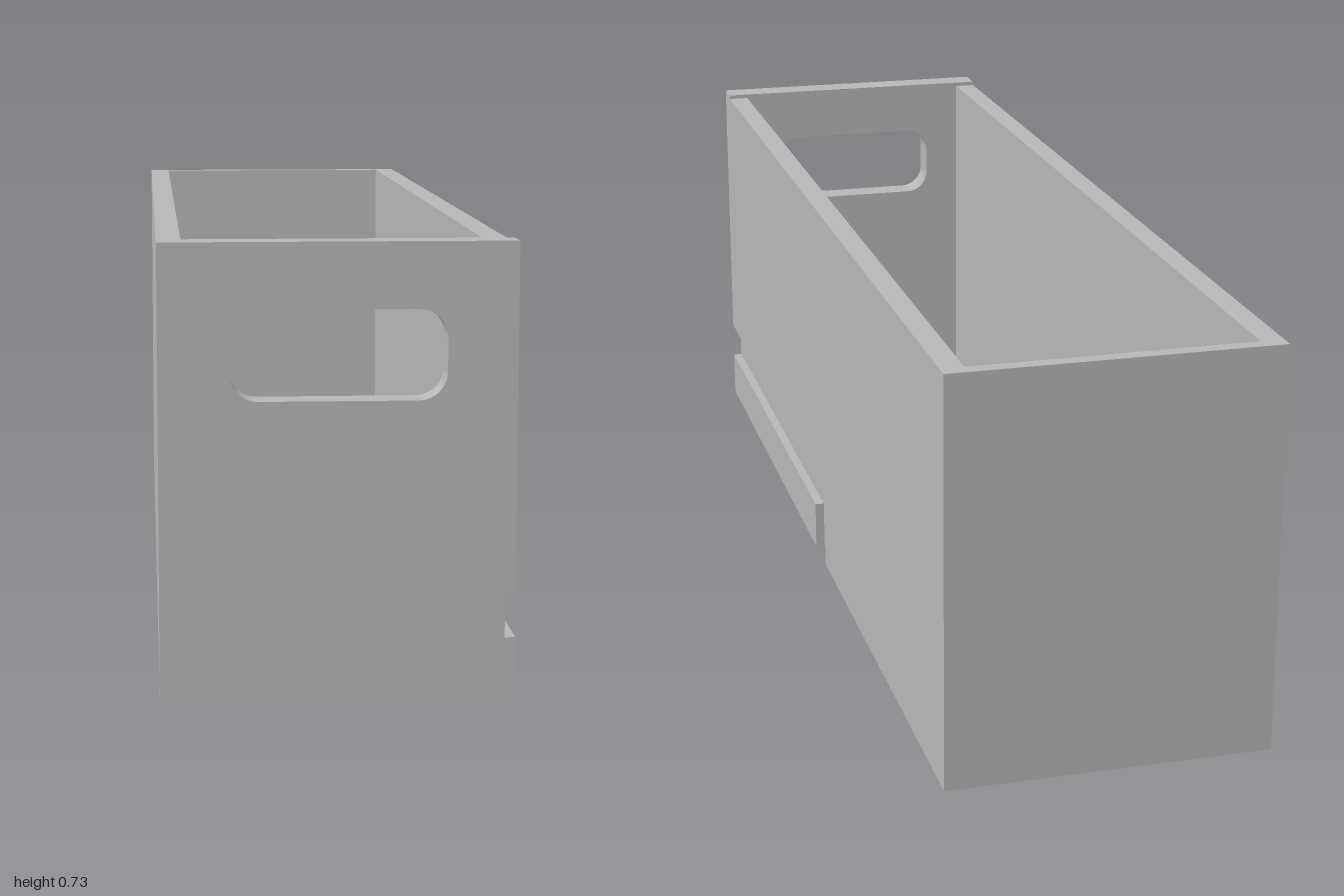
import * as THREE from 'three';

const W = 0.285;         // half width
const INNER = 0.245;     // half width of the cavity
const GROOVE = 0.268;    // x of the groove bottom
const H = 0.722;         // wall height
const LIP = 0.73;        // front panel height
const FRONT = 0.945;     // inner face of the front panel
const BACK = -0.975;     // inner face of the back panel

export function createModel() {
  const model = new THREE.Group();
  model.name = 'storageBin';
  const grey = new THREE.MeshStandardMaterial({ color: 0xb6b6b6 });
  grey.name = 'grey plastic';

  const add = (name, geometry) => {
    const mesh = new THREE.Mesh(geometry, grey);
    mesh.name = name;
    model.add(mesh);
  };
  // Box given by its extents on each axis
  const block = (name, x0, x1, y0, y1, z0, z1) => {
    const g = new THREE.BoxGeometry(x1 - x0, y1 - y0, z1 - z0);
    g.translate((x0 + x1) / 2, (y0 + y1) / 2, (z0 + z1) / 2);
    add(name, g);
  };
  // Plate on the left side, outlined by [z, y] points
  const sidePlate = (name, points) => {
    const shape = new THREE.Shape(points.map(([z, y]) => new THREE.Vector2(-z, y)));
    const g = new THREE.ExtrudeGeometry(shape, { depth: W - GROOVE, bevelEnabled: false });
    g.rotateY(Math.PI / 2).translate(GROOVE, 0, 0);
    add(name, g);
  };

  // Bin body
  block('floor', -INNER, INNER, 0, 0.03, BACK, FRONT);
  block('backPanel', -INNER, INNER, 0, H, -1, BACK);
  block('rightWall', -W, -INNER, 0, H, -1, FRONT);
  block('leftWall', INNER, GROOVE, 0, H, -1, FRONT);

  // Outer layer of the left wall, leaving an L-shaped groove
  sidePlate('leftWallOuter', [
    [-1, 0], [-0.055, 0], [-0.055, 0.165], [1, 0.165],
    [1, LIP], [FRONT, LIP], [FRONT, H], [-1, H],
  ]);
  sidePlate('leftWallLowerStrip', [[0.038, 0], [1, 0], [1, 0.092], [0.038, 0.092]]);

  // Front panel with a rounded handle opening
  const panel = new THREE.Shape();
  panel.moveTo(-W, 0).lineTo(GROOVE, 0).lineTo(GROOVE, LIP).lineTo(-W, LIP).closePath();
  const hx = 0.173, y0 = 0.478, y1 = 0.623, r = 0.046;
  const hole = new THREE.Path();
  hole.moveTo(-hx + r, y0);
  hole.absarc(hx - r, y0 + r, r, -Math.PI / 2, 0);
  hole.absarc(hx - r, y1 - r, r, 0, Math.PI / 2);
  hole.absarc(-hx + r, y1 - r, r, Math.PI / 2, Math.PI);
  hole.absarc(-hx + r, y0 + r, r, Math.PI, Math.PI * 1.5);
  panel.holes.push(hole);
  const front = new THREE.ExtrudeGeometry(panel, { depth: 1 - FRONT, bevelEnabled: false, curveSegments: 10 });
  add('frontPanel', front.translate(0, 0, FRONT));

  return model;
}
